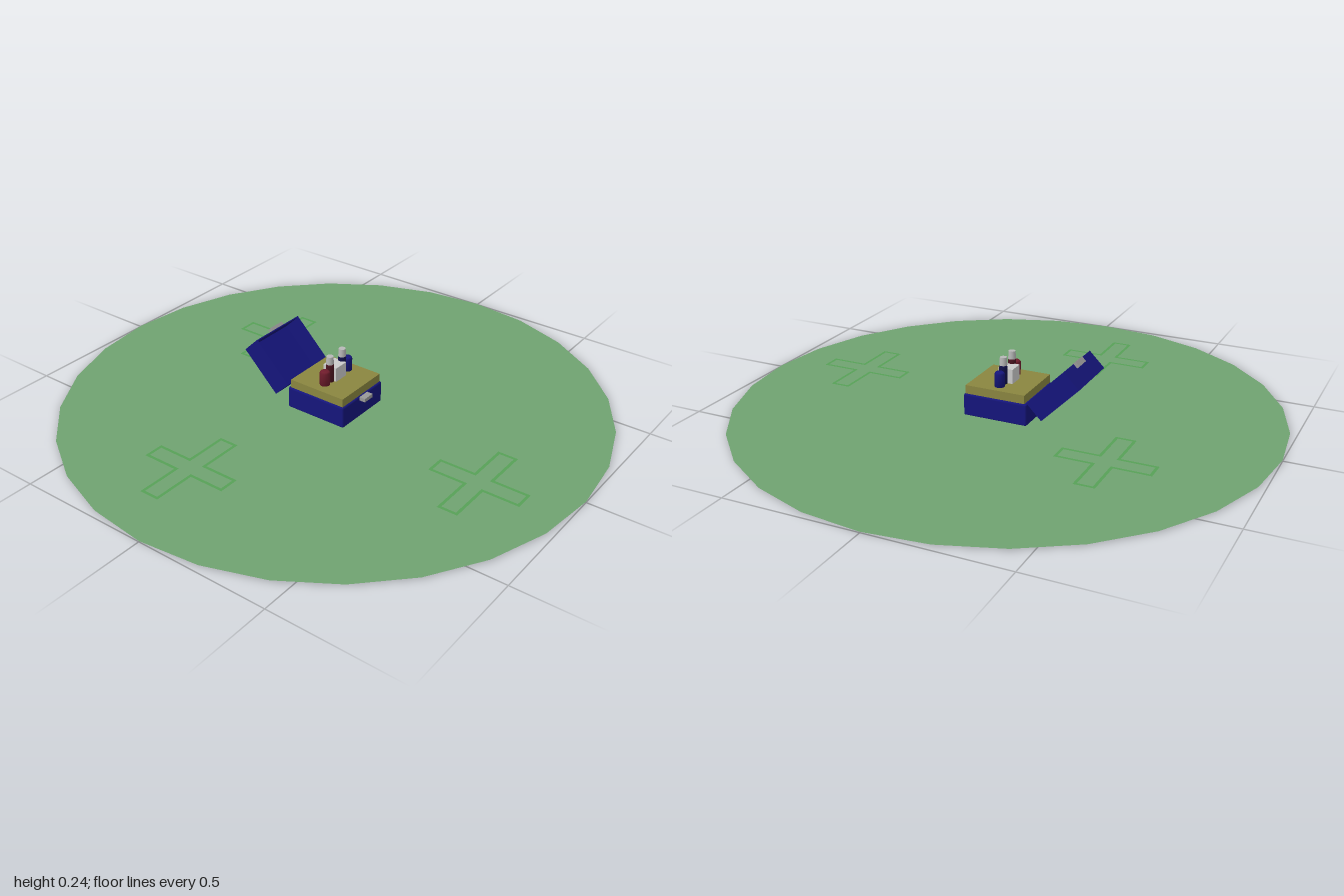
import * as THREE from 'three';
import { RoundedBoxGeometry } from 'three/addons/geometries/RoundedBoxGeometry.js';

const BLUE = 0x15157c, FOAM = 0x8a8640, RED = 0x701c2c, DARK_RED = 0x4a1420, NAVY = 0x10104a;
const GREY = 0x999999, WHITE = 0xcccccc, GREEN = 0x6fa371, LINE = 0x57a057;

function mesh(name, geometry, color, x = 0, y = 0, z = 0, side = THREE.FrontSide) {
  const material = new THREE.MeshStandardMaterial({ color, side });
  const m = new THREE.Mesh(geometry, material);
  m.name = name;
  m.position.set(x, y, z);
  return m;
}

const box = (name, w, h, d, color, x, y, z) =>
  mesh(name, new THREE.BoxGeometry(w, h, d), color, x, y, z);

// Plus-shaped path; inset shrinks every edge inwards
function plusPath(PathType, inset) {
  const L = 0.172 - inset, H = 0.195 - inset, t = 0.038 - inset;
  const quarter = [[L, -t], [L, t], [t, t], [t, H], [-t, H], [-t, t],
    [-L, t], [-L, -t], [-t, -t], [-t, -H], [t, -H], [t, -t]];
  return new PathType(quarter.map(([x, y]) => new THREE.Vector2(x, y)));
}

// Small bottle standing on the foam: body, shoulder and cap in one group
function bottle(name, z, radius, bodyTop, capTop, bodyColor, capColor) {
  const g = new THREE.Group();
  g.name = name;
  g.position.set(0.001, 0.113, z);
  const profile = [[0, 0], [radius, 0], [radius, bodyTop - 0.006], [radius * 0.75, bodyTop], [0, bodyTop]];
  g.add(mesh('bottleBody', new THREE.LatheGeometry(
    profile.map(([r, y]) => new THREE.Vector2(r, y)), 12), bodyColor));
  if (capTop > bodyTop) {
    const h = capTop - bodyTop;
    g.add(mesh('bottleCap', new THREE.CylinderGeometry(radius * 0.85, radius * 0.95, h, 12),
      capColor, 0, bodyTop + h / 2, 0));
  }
  return g;
}

export function createModel() {
  const model = new THREE.Group();
  model.name = 'medicalKit';

  // Flat ground disc with plus-shaped outlines
  const disc = mesh('groundDisc', new THREE.CircleGeometry(1, 28), GREEN, 0, 0.003, 0, THREE.DoubleSide);
  disc.rotation.x = -Math.PI / 2;
  model.add(disc);
  const plus = plusPath(THREE.Shape, 0);
  plus.holes.push(plusPath(THREE.Path, 0.011));
  const plusGeometry = new THREE.ShapeGeometry(plus);
  for (const [x, z] of [[-0.48, -0.262], [0.672, 0.117], [-0.14, 0.622]]) {
    const outline = mesh('plusOutline', plusGeometry, LINE, x, 0.005, z);
    outline.rotation.x = -Math.PI / 2;
    model.add(outline);
  }

  // Lower case and foam insert
  model.add(mesh('caseBase', new RoundedBoxGeometry(0.246, 0.083, 0.236, 1, 0.006), BLUE, -0.002, 0.0415, 0.002));
  model.add(box('foamInsert', 0.23, 0.045, 0.224, FOAM, 0, 0.0925, 0.002));

  // Front clasp
  model.add(box('clasp', 0.024, 0.014, 0.046, GREY, 0.132, 0.075, -0.003));

  // Open lid: a hollow tray hinged on the case edge, x runs away from the hinge
  const lid = new THREE.Group();
  lid.name = 'lid';
  lid.position.set(-0.126, 0.09, 0.002);
  lid.rotation.z = Math.PI * 0.75;
  const L = 0.197, H = 0.08, W = 0.236, T = 0.004;
  lid.add(box('lidPanel', L, T, W, BLUE, L / 2, H - T / 2, 0));
  for (const x of [T / 2, L - T / 2]) lid.add(box('lidEndWall', T, H, W, BLUE, x, H / 2, 0));
  for (const s of [-1, 1]) lid.add(box('lidSideWall', L, H, T, BLUE, L / 2, H / 2, s * (W - T) / 2));
  lid.add(box('lidLatch', 0.012, 0.022, 0.06, GREY, L + 0.006, 0.008, -0.002));
  model.add(lid);

  // Contents: a white carton, two capped vials and two coloured bottles
  model.add(box('carton', 0.056, 0.056, 0.06, WHITE, -0.004, 0.141, 0));
  model.add(bottle('redVial', 0.036, 0.015, 0.072, 0.102, DARK_RED, 0xb8b8b8));
  model.add(bottle('blueVial', -0.036, 0.015, 0.072, 0.102, NAVY, 0xb8b8b8));
  model.add(bottle('redBottle', 0.066, 0.019, 0.056, 0, RED, RED));
  model.add(bottle('blueBottle', -0.066, 0.019, 0.056, 0, BLUE, BLUE));
  return model;
}
